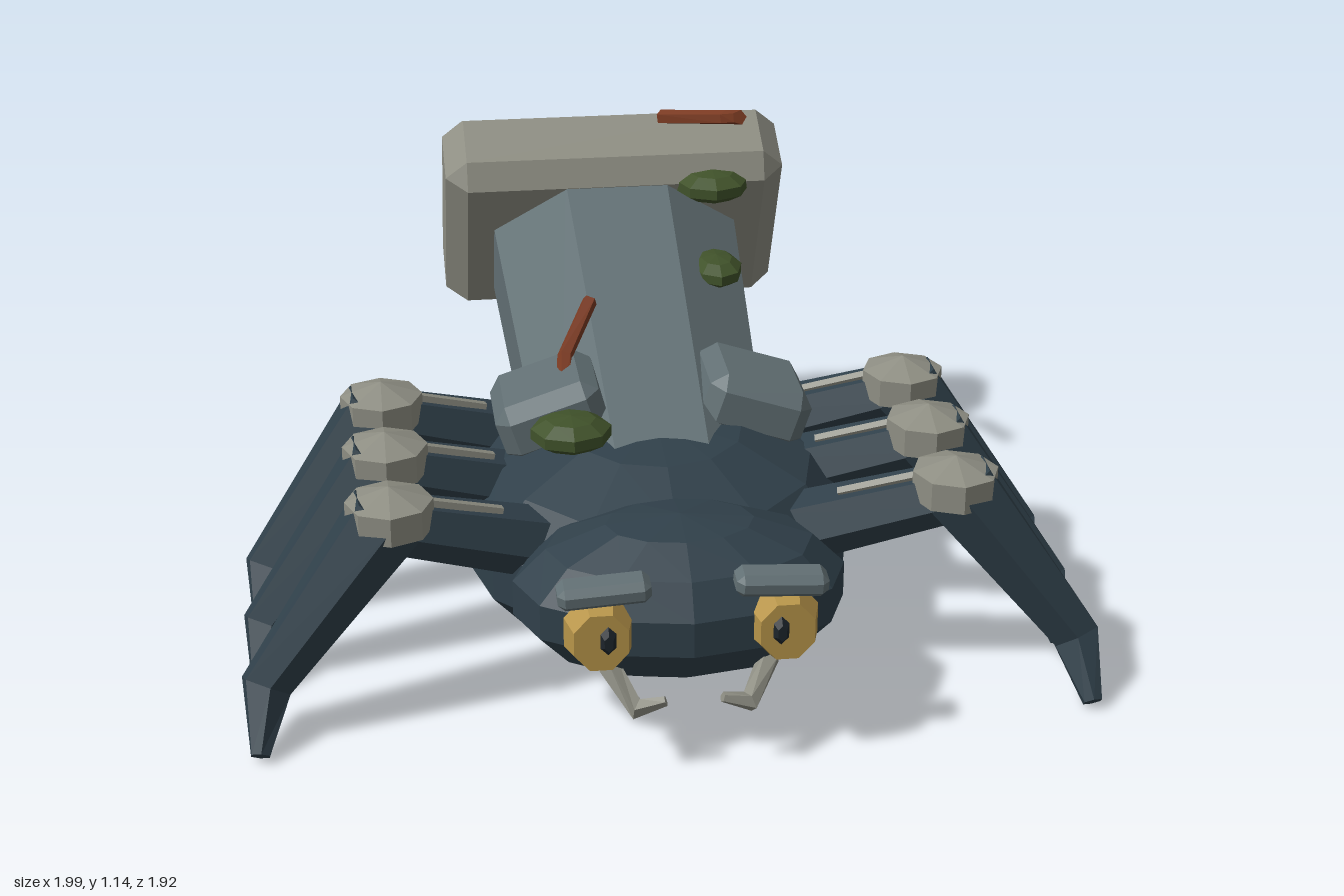
import * as THREE from 'three';
import { ConvexGeometry } from 'three/addons/geometries/ConvexGeometry.js';

const mat = (name, color) => Object.assign(new THREE.MeshStandardMaterial({ color }), { name });
const V = (x, y, z) => new THREE.Vector3(x, y, z);

// Box with all edges cut off by c
function chamferBox(w, h, d, c) {
  const pts = [];
  for (const x of [-1, 1]) for (const y of [-1, 1]) for (const z of [-1, 1])
    for (let axis = 0; axis < 3; axis++) {
      const cut = [c, c, c];
      cut[axis] = 0;
      pts.push(V(x * (w / 2 - cut[0]), y * (h / 2 - cut[1]), z * (d / 2 - cut[2])));
    }
  return new ConvexGeometry(pts);
}

// Closed limb with n sides along a bent path, one radius per point
function limb(path, radii, n) {
  const pos = [], idx = [];
  const all = path[path.length - 1].clone().sub(path[0]).normalize();
  const ref = Math.abs(all.z) > 0.6 ? V(0, 1, 0) : V(0, 0, 1);
  path.forEach((p, i) => {
    const t = V(0, 0, 0);
    if (i > 0) t.add(p.clone().sub(path[i - 1]).normalize());
    if (i < path.length - 1) t.add(path[i + 1].clone().sub(p).normalize());
    t.normalize();
    const u = t.clone().cross(ref).normalize(), v = t.clone().cross(u);
    for (let k = 0; k < n; k++) {
      const a = (k + 0.5) / n * Math.PI * 2;
      const q = p.clone().addScaledVector(u, Math.cos(a) * radii[i]).addScaledVector(v, Math.sin(a) * radii[i]);
      pos.push(q.x, q.y, q.z);
    }
  });
  const last = (path.length - 1) * n;
  for (let i = 0; i < last; i += n)
    for (let k = 0; k < n; k++) {
      const a = i + k, b = i + (k + 1) % n;
      idx.push(a, b, b + n, a, b + n, a + n);
    }
  for (let k = 1; k < n - 1; k++) idx.push(0, k + 1, k, last, last + k, last + k + 1);
  const g = new THREE.BufferGeometry();
  g.setAttribute('position', new THREE.Float32BufferAttribute(pos, 3));
  g.setIndex(idx);
  return g;
}

const blob = (rx, ry, rz, w, h) => new THREE.SphereGeometry(1, w, h).scale(rx, ry, rz);

export function createModel() {
  const shell = mat('dark shell', 0x30404a);
  const slate = mat('slate', 0x627074);
  const stone = mat('pale stone', 0x8e8e83);
  const gold = mat('gold', 0xb8954a);
  const black = mat('pupil black', 0x1c242a);
  const moss = mat('moss green', 0x40522a);
  const rust = mat('rust', 0x7a3a22);

  const model = new THREE.Group();
  const add = (name, geo, material, p = [0, 0, 0], r = [0, 0, 0], parent = model) => {
    const g = geo.index ? geo.toNonIndexed() : geo; // faceted normals
    g.computeVertexNormals();
    const m = new THREE.Mesh(g, material);
    m.name = name;
    m.position.set(...p);
    m.rotation.set(...r);
    parent.add(m);
    return m;
  };

  // Body and head
  add('body', blob(0.487, 0.27, 0.53, 12, 7), shell, [0, 0.3, 0.25]);
  add('head', blob(0.388, 0.19, 0.25, 12, 7), shell, [0, 0.342, 0.69]);

  // Tapered eight-sided handle rising to the back
  const handle = new THREE.CylinderGeometry(0.265, 0.212, 1.216, 8);
  handle.rotateY(Math.PI / 8).scale(1.31, 1, 1).rotateX(-Math.PI / 2);
  add('handle', handle, slate, [0, 0.465, -0.053], [0.292, 0, 0]);
  add('hammerBlock', chamferBox(0.89, 0.53, 0.265, 0.055), stone, [0, 0.735, -0.745], [0.454, 0, 0]);

  for (const s of [1, -1]) {
    const side = s > 0 ? 'left' : 'right';

    // Shoulder blocks
    add(side + 'Shoulder', chamferBox(0.26, 0.15, 0.26, 0.035), slate, [s * 0.245, 0.565, 0.15], [0, 0, -s * 0.32]);

    // Eyes and brows
    add(side + 'Eye', new THREE.CylinderGeometry(0.065, 0.083, 0.06, 8).rotateY(Math.PI / 8)
      .rotateX(Math.PI / 2).scale(1, 1.12, 1), gold, [s * 0.205, 0.357, 0.915]);
    add(side + 'Pupil', new THREE.CylinderGeometry(0.014, 0.025, 0.016, 6).rotateX(Math.PI / 2)
      .scale(0.8, 1.4, 1), black, [s * 0.19, 0.362, 0.953]);
    add(side + 'Brow', chamferBox(0.205, 0.055, 0.075, 0.016), slate, [s * 0.195, 0.463, 0.902], [0.1, 0, -s * 0.06]);

    // Hooked mandibles
    add(side + 'Mandible', limb([V(s * 0.18, 0.25, 0.86), V(s * 0.125, 0.178, 0.93), V(s * 0.063, 0.2, 0.94)],
      [0.026, 0.025, 0.012], 5), stone);

    // Three legs, all alike
    [0.62, 0.335, 0.05].forEach((z, i) => {
      const leg = new THREE.Group();
      leg.name = side + ['Front', 'Middle', 'Rear'][i] + 'Leg';
      leg.position.z = z;
      model.add(leg);
      const part = (name, geo, m, p) => add(name, geo, m, p, [0, 0, 0], leg);
      part('upperLeg', limb([V(s * 0.28, 0.37, -0.13), V(s * 0.66, 0.515, 0)], [0.085, 0.07, ], 6), shell);
      part('lowerLeg', limb([V(s * 0.65, 0.53, 0), V(s * 0.94, 0.145, 0.055), V(s * 0.958, 0.028, 0.165)],
        [0.095, 0.062, 0.024], 6), shell);
      part('knee', blob(0.115, 0.068, 0.115, 8, 3), stone, [s * 0.645, 0.535, 0]);
      part('legRod', limb([V(s * 0.39, 0.488, -0.075), V(s * 0.6, 0.565, 0.0)], [0.013, 0.013], 5), stone);
    });
  }

  // Moss clumps: position, then radii
  [[-0.21, 0.582, 0.345, 0.1, 0.043, 0.09], [0.252, 0.857, -0.55, 0.1, 0.042, 0.1],
    [0.23, 0.714, -0.31, 0.068, 0.038, 0.1], [-0.265, 0.902, -0.8, 0.1, 0.038, 0.09]]
    .forEach(([x, y, z, a, b, c]) => add('mossClump', blob(a, b, c, 8, 5), moss, [x, y, z]));

  // Bent rusty rods
  const rod = [0.019, 0.019, 0.019];
  add('bodyRod', limb([V(-0.215, 0.6, 0.21), V(-0.2, 0.67, 0.1), V(-0.125, 0.755, -0.035)], rod, 5), rust);
  add('upperRod', limb([V(0.11, 1.06, -0.51), V(0.26, 1.092, -0.39), V(0.278, 1.13, -0.275)], rod, 5), rust);

  return model;
}
